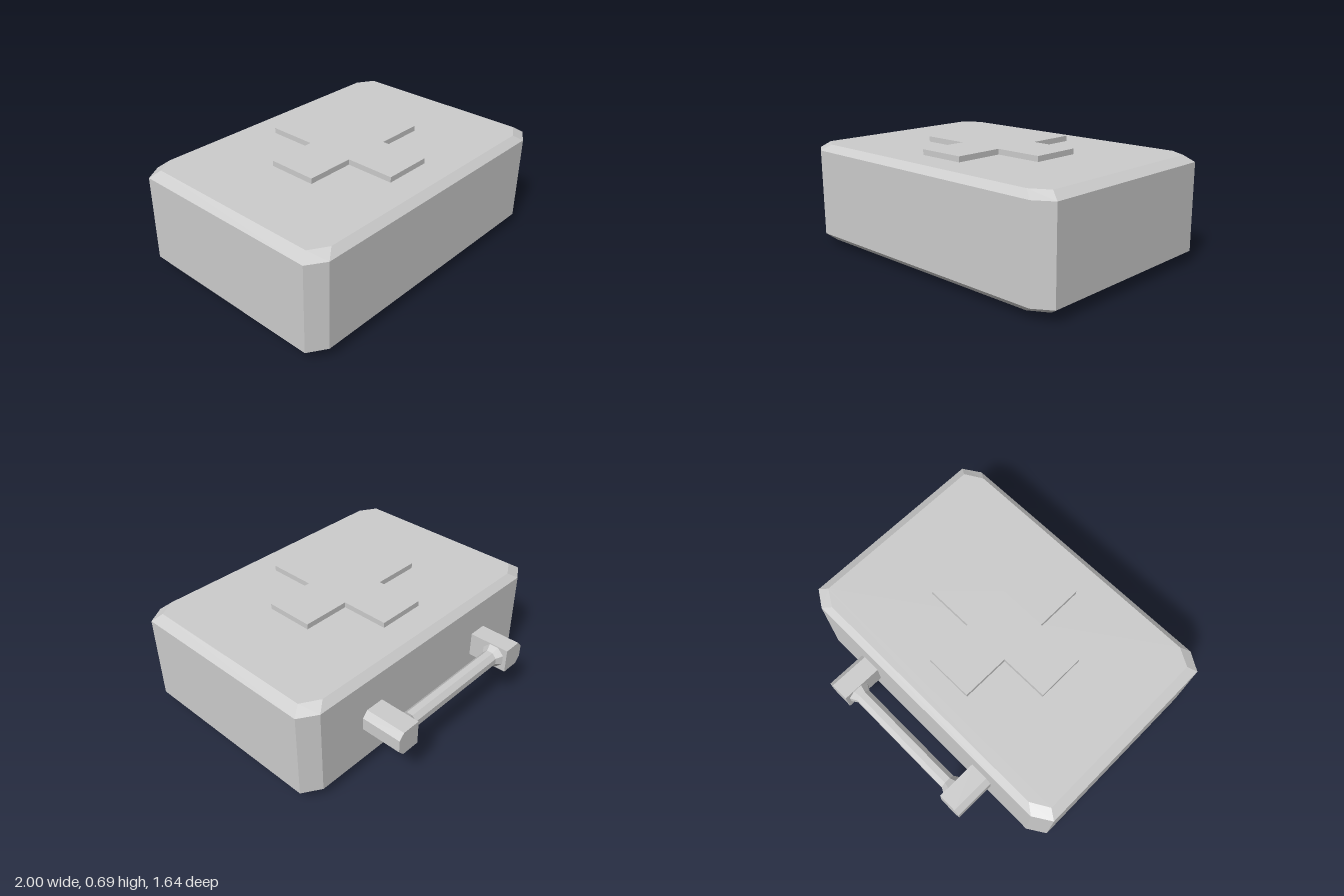
import * as THREE from 'three';

const grey = () => new THREE.MeshStandardMaterial({ color: 0xcccccc, flatShading: true });

function addMesh(parent, name, geometry) {
  const mesh = new THREE.Mesh(geometry, grey());
  mesh.name = name;
  parent.add(mesh);
  return mesh;
}

// Rectangle with cut corners, counter-clockwise in its own plane
function cutRect(hx, hy, cx, cy) {
  return [
    [hx, -hy + cy], [hx, hy - cy], [hx - cx, hy], [-hx + cx, hy],
    [-hx, hy - cy], [-hx, -hy + cy], [-hx + cx, -hy], [hx - cx, -hy],
  ];
}

// Closed solid lofted through stacked horizontal outlines
function loft(levels) {
  const pos = [];
  const rings = levels.map(({ y, ring }) => ring.map(([x, z]) => [x, y, z]));
  const tri = (a, b, c) => pos.push(...a, ...b, ...c);
  const n = rings[0].length;
  for (let k = 0; k < rings.length - 1; k++) {
    const lo = rings[k], hi = rings[k + 1];
    for (let i = 0; i < n; i++) {
      const j = (i + 1) % n;
      tri(lo[i], hi[i], hi[j]);
      tri(lo[i], hi[j], lo[j]);
    }
  }
  const bottom = rings[0], top = rings[rings.length - 1];
  for (let i = 1; i < n - 1; i++) {
    tri(bottom[0], bottom[i], bottom[i + 1]);
    tri(top[0], top[i + 1], top[i]);
  }
  const g = new THREE.BufferGeometry();
  g.setAttribute('position', new THREE.Float32BufferAttribute(pos, 3));
  g.computeVertexNormals();
  return g;
}

export function createModel() {
  const model = new THREE.Group();
  model.name = 'firstAidCase';
  const midZ = 0.13;

  // Case body with cut corners and bevelled rims
  const wide = cutRect(1, 0.69, 0.11, 0.07);
  const inset = cutRect(0.94, 0.647, 0.11, 0.065);
  addMesh(model, 'caseBody', loft([
    { y: 0.035, ring: inset },
    { y: 0.075, ring: wide },
    { y: 0.62, ring: wide },
    { y: 0.66, ring: inset },
  ])).position.z = midZ;

  // Raised cross plates on lid and base
  const a = 0.465, b = 0.155;
  const cross = new THREE.Shape([
    [a, -b], [a, b], [b, b], [b, a], [-b, a], [-b, b],
    [-a, b], [-a, -b], [-b, -b], [-b, -a], [b, -a], [b, -b],
  ].map(([x, y]) => new THREE.Vector2(x, y)));
  for (const [name, y] of [['topCross', 0.658], ['bottomCross', 0]]) {
    const g = new THREE.ExtrudeGeometry(cross, { depth: 0.036, bevelEnabled: false });
    g.rotateX(-Math.PI / 2);
    addMesh(model, name, g).position.set(0, y, midZ);
  }

  // Carrying handle on the back
  const handle = new THREE.Group();
  handle.name = 'handle';
  handle.position.y = 0.343;
  model.add(handle);

  // Posts, chamfered along their outer edges
  for (const side of [1, -1]) {
    const outline = new THREE.Shape([
      [0.42, -0.078], [0.54, -0.078], [0.575, -0.04],
      [0.575, 0.04], [0.54, 0.078], [0.42, 0.078],
    ].map(([x, y]) => new THREE.Vector2(side * x, y)));
    const g = new THREE.ExtrudeGeometry(outline, { depth: 0.27, bevelEnabled: false });
    addMesh(handle, side > 0 ? 'leftPost' : 'rightPost', g).position.z = -0.823;
  }

  // Eight-sided grip, flared where it meets the posts
  const profile = [[0.079, -0.422], [0.052, -0.38], [0.052, 0.38], [0.079, 0.422]]
    .map(([r, y]) => new THREE.Vector2(r, y));
  const grip = new THREE.LatheGeometry(profile, 8, Math.PI / 8);
  grip.rotateZ(Math.PI / 2);
  addMesh(handle, 'grip', grip).position.z = -0.728;

  return model;
}
